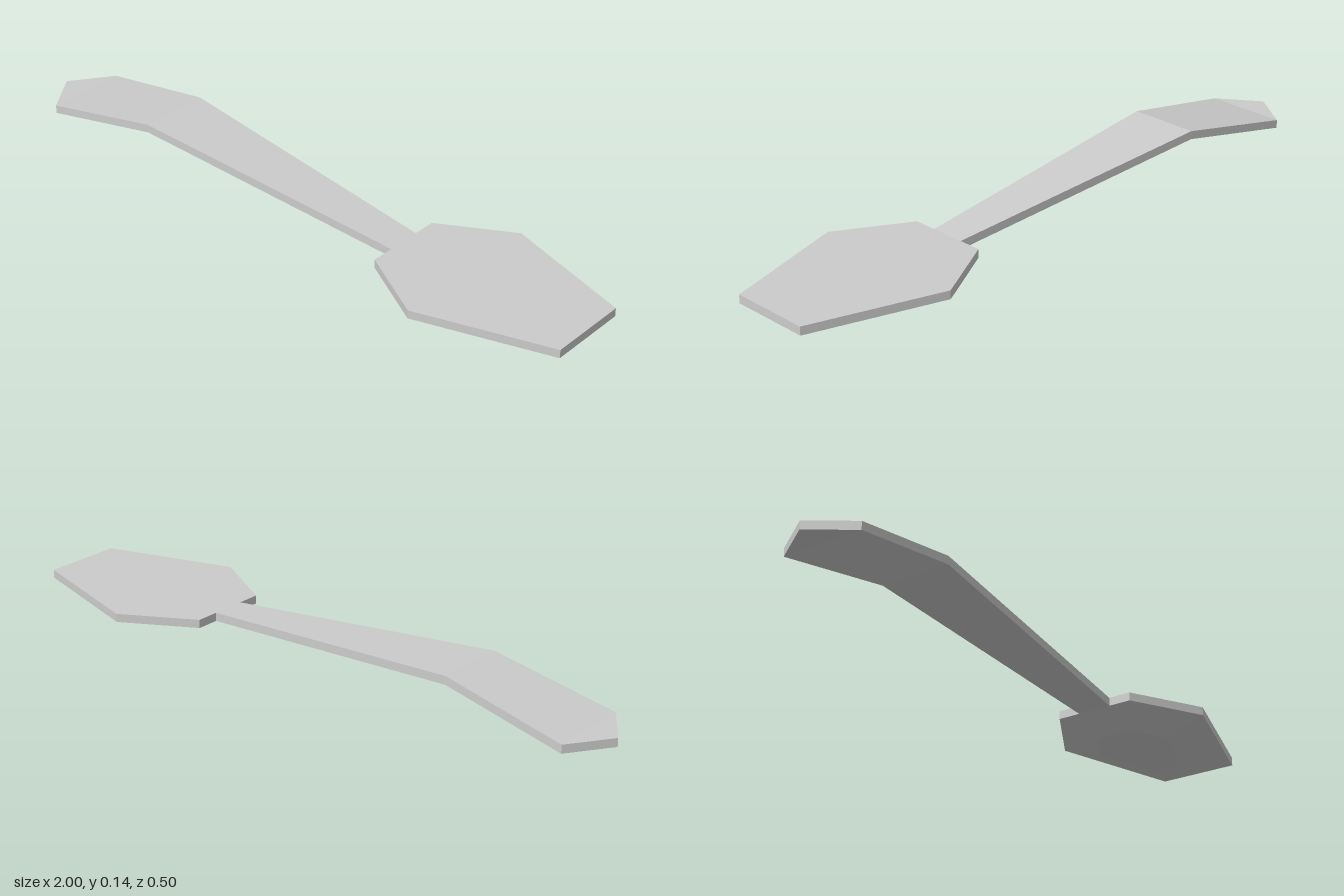
import * as THREE from 'three';

// Joins matching rings of points, counter-clockwise as seen from the last ring, with optional end caps.
function loft(rings, capStart, capEnd) {
  const pos = [];
  const tri = (a, b, c) => {
    if (new THREE.Triangle(a, b, c).getArea() > 1e-7) for (const p of [a, b, c]) pos.push(p.x, p.y, p.z);
  };
  const n = rings[0].length;
  for (let r = 0; r < rings.length - 1; r++) {
    const lo = rings[r], hi = rings[r + 1];
    for (let i = 0; i < n; i++) {
      const j = (i + 1) % n;
      tri(lo[i], lo[j], hi[j]);
      tri(lo[i], hi[j], hi[i]);
    }
  }
  const first = rings[0], last = rings[rings.length - 1];
  for (let i = 1; i < n - 1; i++) {
    if (capStart) tri(first[0], first[i + 1], first[i]);
    if (capEnd) tri(last[0], last[i], last[i + 1]);
  }
  const geo = new THREE.BufferGeometry();
  geo.setAttribute('position', new THREE.Float32BufferAttribute(pos, 3));
  geo.computeVertexNormals();
  return geo;
}

const V = (x, y, z) => new THREE.Vector3(x, y, z);

export function createModel() {
  const group = new THREE.Group();
  group.name = 'spoon';
  const material = new THREE.MeshStandardMaterial({ color: 0xcccccc, flatShading: true });
  const add = (name, geo) => {
    const mesh = new THREE.Mesh(geo, material);
    mesh.name = name;
    group.add(mesh);
  };

  // Hexagon mirrored across z, from [x, half width] pairs
  const hexagon = (half, y) => [
    ...half.map(([x, z]) => V(x, y, z)),
    ...half.slice().reverse().map(([x, z]) => V(x, y, -z)),
  ];

  // Bowl: tapered underside with a straight rim and flat top
  const rim = [[0.375, 0.125], [0.595, 0.25], [1, 0.125]];
  const base = [[0.485, 0.055], [0.595, 0.12], [0.805, 0.055]];
  add('bowl', loft([hexagon(base, 0), hexagon(rim, 0.044), hexagon(rim, 0.07)], true, true));

  // Handle: bent flat bar, widening to a pointed end
  const thickness = 0.026;
  const stations = [ // x, underside y, half width
    [-1, 0.044, 0],
    [-0.91, 0.044, 0.128],
    [-0.52, 0.119, 0.111],
    [0.375, 0.044, 0.054],
  ];
  add('handle', loft(stations.map(([x, y, w]) => [
    V(x, y, w), V(x, y, -w), V(x, y + thickness, -w), V(x, y + thickness, w),
  ]), false, false));

  return group;
}
